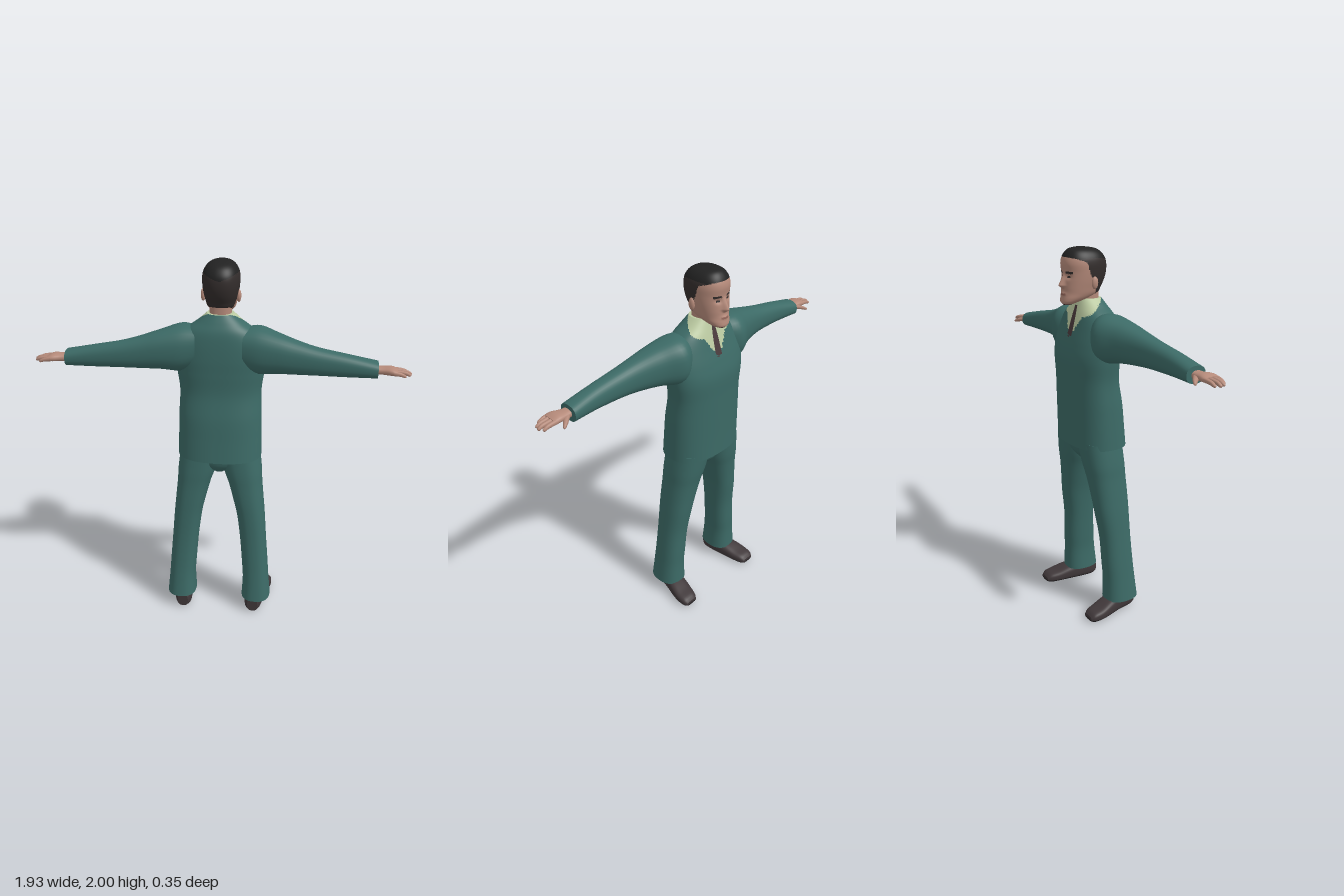
import * as THREE from 'three';

const mat = (name, color) => {
  const m = new THREE.MeshStandardMaterial({ color });
  m.name = name;
  return m;
};

// Position of a section point: t runs along the axis, (a, b) lie across it
const PLACE = {
  x: (t, a, b) => [t, a, b],
  y: (t, a, b) => [a, t, b],
  z: (t, a, b) => [a, b, t],
};

// Smooth interpolation between cross-sections [t, aMin, aMax, bMin, bMax]
function sectionAt(list, u) {
  const f = u * (list.length - 1);
  const i = Math.min(Math.floor(f), list.length - 2), k = f - i;
  const p1 = list[i], p2 = list[i + 1];
  const p0 = list[i - 1] || p1, p3 = list[i + 2] || p2;
  return p1.map((v, c) => {
    const m1 = (p2[c] - p0[c]) / 2, m2 = (p3[c] - v) / 2, d = p2[c] - v;
    return v + k * (m1 + k * (3 * d - 2 * m1 - m2 + k * (m1 + m2 - 2 * d)));
  });
}

// Skins superellipse cross-sections; pick(x, y, z) chooses the material of each face
function loft(name, axis, list, mats, opt = {}) {
  const { segs = 24, steps = 24, n = 2.4, side = 1, pick = () => 0, warp } = opt;
  const pos = [], buckets = mats.map(() => []);
  const flip = (axis === 'y') !== (side < 0);
  const add = (p) => {
    const q = warp ? warp(...p) : p;
    pos.push(q[0] * side, q[1], q[2]);
    return pos.length / 3 - 1;
  };
  const tri = (a, b, c) => {
    const mid = [0, 1, 2].map((k) => (pos[a * 3 + k] + pos[b * 3 + k] + pos[c * 3 + k]) / 3);
    buckets[pick(...mid)].push(...(flip ? [a, c, b] : [a, b, c]));
  };
  const ring = (u) => {
    const [t, a0, a1, b0, b1] = sectionAt(list, u);
    const ids = [];
    for (let j = 0; j < segs; j++) {
      const th = (j / segs) * Math.PI * 2, c = Math.cos(th), s = Math.sin(th);
      const a = Math.sign(c) * Math.abs(c) ** (2 / n), b = Math.sign(s) * Math.abs(s) ** (2 / n);
      ids.push(add(PLACE[axis](t, (a0 + a1) / 2 + (a * (a1 - a0)) / 2, (b0 + b1) / 2 + (b * (b1 - b0)) / 2)));
    }
    return ids;
  };
  const rings = [];
  for (let i = 0; i <= steps; i++) rings.push(ring(i / steps));
  for (let i = 0; i < steps; i++) {
    for (let j = 0; j < segs; j++) {
      const k = (j + 1) % segs, lo = rings[i], hi = rings[i + 1];
      tri(lo[j], lo[k], hi[k]);
      tri(lo[j], hi[k], hi[j]);
    }
  }
  // End caps
  for (const u of [0, 1]) {
    const ids = ring(u), [t, a0, a1, b0, b1] = list[u * (list.length - 1)];
    const mid = add(PLACE[axis](t, (a0 + a1) / 2, (b0 + b1) / 2));
    ids.forEach((id, j) => {
      const next = ids[(j + 1) % segs];
      u ? tri(mid, id, next) : tri(mid, next, id);
    });
  }
  const g = new THREE.BufferGeometry();
  g.setAttribute('position', new THREE.Float32BufferAttribute(pos, 3));
  g.setIndex(buckets.flat());
  let start = 0;
  buckets.forEach((b, i) => {
    if (b.length) g.addGroup(start, b.length, i);
    start += b.length;
  });
  g.computeVertexNormals();
  const mesh = new THREE.Mesh(g, mats.length > 1 ? mats : mats[0]);
  mesh.name = name;
  return mesh;
}

const bump = (d, w) => Math.exp(-((d / w) ** 2));

export function createModel() {
  const man = new THREE.Group();
  man.name = 'manInSuit';
  const suit = mat('suitGreen', 0x3c6a66), skin = mat('skin', 0xb58a7a);
  const cream = mat('shirtCream', 0xbccba2), tie = mat('tieBrown', 0x4a3a3c);
  const hair = mat('hairBrown', 0x332d2c), crown = mat('hairBlack', 0x222222);
  const lips = mat('lips', 0x96685c), shoe = mat('shoe', 0x40383a), sole = mat('sole', 0x2a2628);

  // Jacket with the shirt collar and tie in its neckline
  const jacketPick = (x, y, z) => {
    const ax = Math.abs(x), inV = z < 0 && ax < (y - 1.54) * 0.62;
    if (inV && y < 1.71 && ax < 0.012 + (1.71 - y) * 0.09) return 2;
    return inV || y > 1.715 + z * 0.7 ? 1 : 0;
  };
  man.add(loft('jacket', 'y', [
    [0.97, -0.225, 0.225, -0.13, 0.17], [1.08, -0.223, 0.223, -0.132, 0.158],
    [1.2, -0.22, 0.22, -0.135, 0.145], [1.33, -0.215, 0.215, -0.138, 0.122],
    [1.44, -0.228, 0.228, -0.14, 0.12], [1.52, -0.232, 0.232, -0.125, 0.12],
    [1.6, -0.215, 0.215, -0.102, 0.115], [1.66, -0.175, 0.175, -0.085, 0.105],
    [1.705, -0.115, 0.115, -0.072, 0.085], [1.745, -0.068, 0.068, -0.06, 0.062],
  ], [suit, cream, tie], { segs: 112, steps: 81, pick: jacketPick }));

  // Trouser seat joining the legs
  man.add(loft('trouserSeat', 'y', [
    [0.875, -0.035, 0.035, -0.05, 0.08], [0.92, -0.12, 0.12, -0.085, 0.11], [1, -0.21, 0.21, -0.11, 0.12],
  ], [suit]));

  man.add(loft('neck', 'y', [
    [1.66, -0.058, 0.058, -0.05, 0.05], [1.74, -0.056, 0.056, -0.056, 0.05], [1.83, -0.06, 0.06, -0.07, 0.05],
  ], [skin]));

  // Head: face modelled by pushing the front of the skull, hairline chosen by height
  const hairline = [[1.76, 0.01], [1.83, -0.01], [1.87, -0.04], [1.93, -0.06], [1.95, -0.12], [1.962, -0.2]];
  const hairEdge = (y) => {
    for (let i = 1; i < hairline.length; i++) {
      const [y0, z0] = hairline[i - 1], [y1, z1] = hairline[i];
      if (y < y1) return z0 + ((z1 - z0) * (y - y0)) / (y1 - y0);
    }
    return -1;
  };
  const headPick = (x, y, z) => {
    const ax = Math.abs(x);
    if (y > 1.765 && z > hairEdge(y)) return y > 1.918 + ax * 0.35 ? 2 : 1;
    if (z > -0.08) return 0;
    if (y > 1.874 && y < 1.883 && ax > 0.016 && ax < 0.056) return 1;
    if (y > 1.853 && y < 1.861 && ax > 0.024 && ax < 0.044) return 1;
    if (y < 1.722) return 1;
    return y > 1.766 && y < 1.777 && ax < 0.024 ? 3 : 0;
  };
  const faceWarp = (x, y, z) => {
    if (z > -0.08) return [x, y, z];
    const ridge = y > 1.815 ? Math.max(0, (1.875 - y) / 0.06) : Math.max(0, (y - 1.797) / 0.018);
    const nose = 0.029 * ridge * bump(x, 0.009 + 0.006 * ridge);
    const socket = 0.009 * bump(Math.abs(x) - 0.033, 0.016) * bump(y - 1.86, 0.013);
    const mouth = 0.006 * bump(x, 0.025) * bump(y - 1.773, 0.01);
    return [x, y, z - nose + socket - mouth];
  };
  man.add(loft('head', 'y', [
    [1.716, -0.018, 0.018, -0.142, -0.11], [1.73, -0.044, 0.044, -0.155, -0.07],
    [1.75, -0.062, 0.062, -0.154, -0.01], [1.775, -0.074, 0.074, -0.148, 0.045],
    [1.805, -0.081, 0.081, -0.147, 0.063], [1.84, -0.088, 0.088, -0.145, 0.08],
    [1.88, -0.093, 0.093, -0.143, 0.09], [1.92, -0.094, 0.094, -0.147, 0.09],
    [1.95, -0.088, 0.088, -0.141, 0.08], [1.976, -0.072, 0.072, -0.126, 0.058],
    [1.992, -0.048, 0.048, -0.106, 0.025], [2, -0.012, 0.012, -0.075, -0.03],
  ], [skin, hair, crown, lips], { segs: 112, steps: 99, n: 2.25, pick: headPick, warp: faceWarp }));

  for (const side of [1, -1]) {
    const label = side > 0 ? 'left' : 'right';
    const part = (name, axis, list, mats, opt) => man.add(loft(label + name, axis, list, mats, { side, ...opt }));

    const ear = new THREE.Mesh(new THREE.SphereGeometry(1, 12, 10), skin);
    ear.name = label + 'Ear';
    ear.scale.set(0.012, 0.032, 0.018);
    ear.position.set(side * 0.09, 1.828, -0.015);
    man.add(ear);

    part('Sleeve', 'x', [
      [0.12, 1.47, 1.675, -0.06, 0.11], [0.2, 1.44, 1.682, -0.098, 0.125], [0.3, 1.452, 1.656, -0.05, 0.13],
      [0.4, 1.457, 1.626, -0.01, 0.13], [0.5, 1.46, 1.6, 0.012, 0.13], [0.65, 1.46, 1.572, 0.022, 0.128],
      [0.795, 1.46, 1.542, 0.016, 0.125],
    ], [suit], { segs: 32, steps: 36 });

    // Hand: palm, four fingers and thumb
    part('Palm', 'x', [
      [0.78, 1.48, 1.522, 0.045, 0.105], [0.82, 1.482, 1.52, 0.042, 0.11],
      [0.86, 1.482, 1.522, 0.038, 0.126], [0.89, 1.486, 1.512, 0.041, 0.128],
    ], [skin], { steps: 9 });
    [[0.05, 0.95], [0.073, 0.963], [0.096, 0.957], [0.118, 0.932]].forEach(([z, tip], i) => {
      part('Finger' + (i + 1), 'x', [
        [0.87, 1.488, 1.512, z - 0.011, z + 0.011], [tip - 0.03, 1.486, 1.506, z - 0.01, z + 0.01],
        [tip - 0.007, 1.48, 1.496, z - 0.008, z + 0.008], [tip, 1.484, 1.49, z - 0.003, z + 0.003],
      ], [skin], { segs: 10, steps: 9 });
    });
    part('Thumb', 'x', [
      [0.81, 1.488, 1.51, 0.04, 0.075], [0.84, 1.483, 1.506, 0.014, 0.05],
      [0.862, 1.477, 1.496, 0.001, 0.023], [0.872, 1.479, 1.488, -0.001, 0.01],
    ], [skin], { segs: 10, steps: 9 });

    part('TrouserLeg', 'y', [
      [0.08, 0.135, 0.3, -0.022, 0.175], [0.2, 0.14, 0.288, -0.02, 0.16], [0.3, 0.133, 0.28, -0.025, 0.15],
      [0.45, 0.12, 0.267, -0.032, 0.14], [0.6, 0.1, 0.255, -0.054, 0.136], [0.7, 0.077, 0.245, -0.066, 0.134],
      [0.8, 0.05, 0.235, -0.08, 0.13], [0.88, 0.022, 0.23, -0.095, 0.128], [1, -0.01, 0.215, -0.11, 0.12],
    ], [suit], { segs: 32, steps: 40 });

    part('Shoe', 'z', [
      [-0.152, 0.214, 0.285, 0.008, 0.035], [-0.13, 0.2, 0.298, 0, 0.054], [-0.08, 0.185, 0.3, 0, 0.066],
      [-0.02, 0.173, 0.288, 0, 0.085], [0.05, 0.162, 0.268, 0, 0.1], [0.13, 0.158, 0.252, 0, 0.1],
      [0.165, 0.175, 0.235, 0.008, 0.085],
    ], [shoe, sole], { segs: 32, n: 2.9, pick: (x, y) => (y < 0.018 ? 1 : 0) });
  }
  return man;
}
